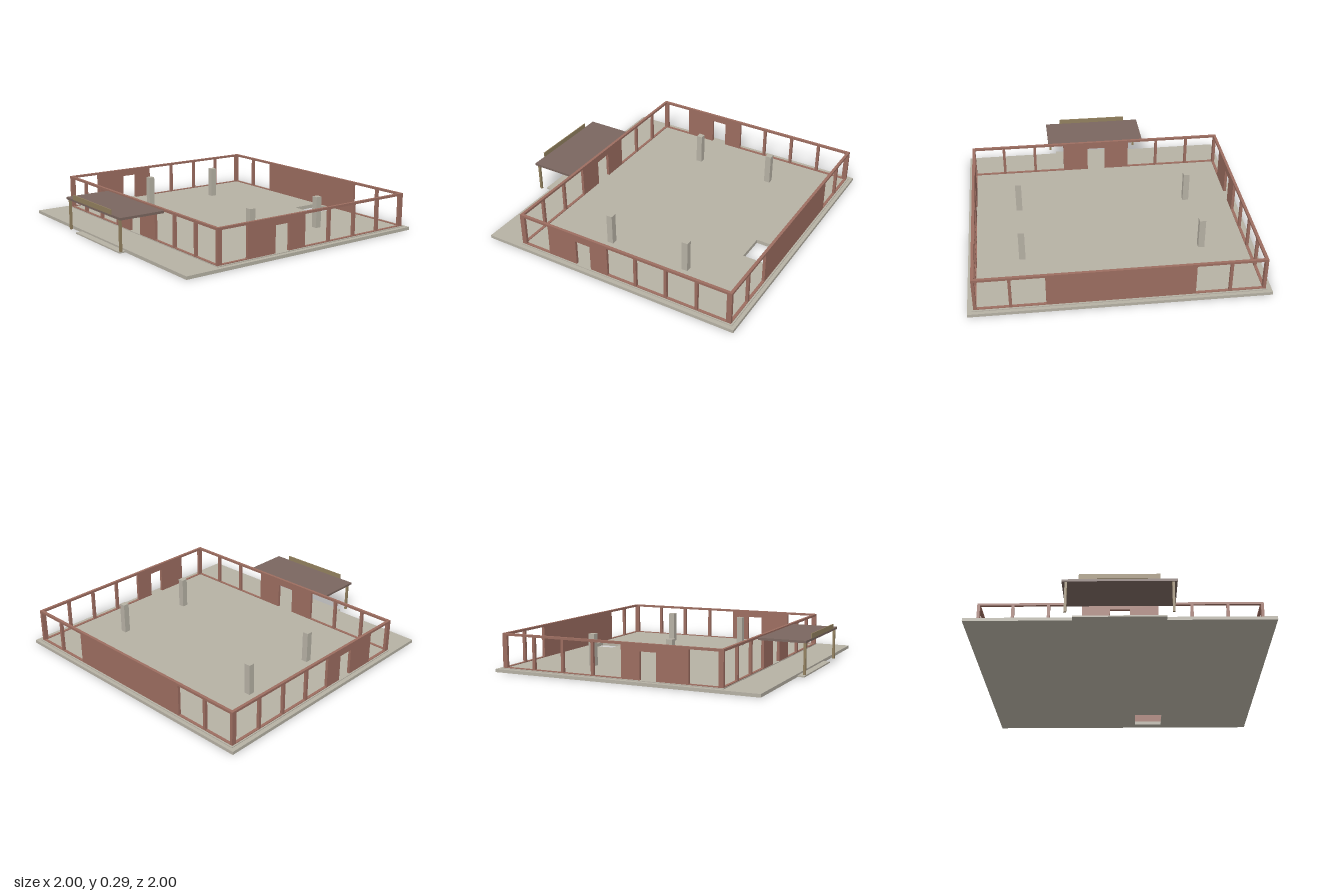
import * as THREE from 'three';

const mat = (name, hex) => {
  const m = new THREE.MeshStandardMaterial({ color: hex });
  m.name = name;
  return m;
};

export function createModel() {
  const model = new THREE.Group();
  const concrete = mat('concrete', 0xb6b1a4);
  const brick = mat('brick red', 0x9c6d60);
  const roof = mat('dark brown', 0x7a665f);
  const tan = mat('tan', 0x92805f);

  // Box given by its limits on each axis
  const box = (parent, name, material, [x0, x1], [y0, y1], [z0, z1]) => {
    const mesh = new THREE.Mesh(new THREE.BoxGeometry(x1 - x0, y1 - y0, z1 - z0), material);
    mesh.position.set((x0 + x1) / 2, (y0 + y1) / 2, (z0 + z1) / 2);
    mesh.name = name;
    parent.add(mesh);
  };

  // Flat plate with the stair opening cut through it
  const plate = (name, [x0, x1], [y0, y1], [z0, z1]) => {
    const rect = (P, a, b, c, d) => new P([[a, c], [b, c], [b, d], [a, d]].map(p => new THREE.Vector2(...p)));
    const shape = rect(THREE.Shape, x0, x1, z0, z1);
    shape.holes.push(rect(THREE.Path, 0.1, 0.31, -0.925, -0.717));
    const geo = new THREE.ExtrudeGeometry(shape, { depth: y1 - y0, bevelEnabled: false });
    geo.rotateX(Math.PI / 2);
    const mesh = new THREE.Mesh(geo, concrete);
    mesh.position.y = y1;
    mesh.name = name;
    model.add(mesh);
  };

  // Ground slab, raised floor and entrance step
  plate('baseSlab', [-1, 1], [0, 0.022], [-1, 0.92]);
  plate('floor', [-0.97, 0.97], [0.022, 0.027], [-0.975, 0.668]);
  box(model, 'entranceStep', concrete, [-0.3, 0.3], [0, 0.01], [0.92, 0.967]);

  // Framed wall along local x: sill, top rail, posts and a solid panel with optional doorway
  const T = 0.02, FLOOR = 0.027, RAIL = 0.25, TOP = 0.266;
  const wall = (name, [u0, u1], posts, [p0, p1], door) => {
    const g = new THREE.Group();
    g.name = name;
    const depth = [-T / 2, T / 2];
    const cuts = door ? [[u0, door[0]], [door[1], u1]] : [[u0, u1]];
    cuts.forEach(c => box(g, 'sill', brick, c, [FLOOR, 0.032], depth));
    box(g, 'topRail', brick, [u0, u1], [RAIL, TOP], depth);
    posts.forEach(u => box(g, 'post', brick, [u - 0.01, u + 0.01], [FLOOR, RAIL], depth));
    const pts = [[p0, FLOOR]];
    if (door) pts.push([door[0], FLOOR], [door[0], 0.213], [door[1], 0.213], [door[1], FLOOR]);
    pts.push([p1, FLOOR], [p1, RAIL], [p0, RAIL]);
    const shape = new THREE.Shape(pts.map(p => new THREE.Vector2(...p)));
    const geo = new THREE.ExtrudeGeometry(shape, { depth: T, bevelEnabled: false }).translate(0, 0, -T / 2);
    const panel = new THREE.Mesh(geo, brick);
    panel.name = 'panel';
    g.add(panel);
    model.add(g);
    return g;
  };

  const front = wall('frontWall', [-0.96, 0.96], [-0.95, -0.72, -0.48, 0.48, 0.72, 0.95], [-0.255, 0.255], [-0.07, 0.065]);
  front.position.z = 0.655;
  const back = wall('backWall', [-0.96, 0.96], [-0.95, -0.72, 0.72, 0.95], [-0.49, 0.49]);
  back.position.z = -0.953;
  for (const s of [-1, 1]) {
    const side = wall(s > 0 ? 'leftWall' : 'rightWall', [-0.943, 0.645],
      [-0.938, -0.713, -0.488, -0.26, 0.64], [-0.045, 0.43], [0.09, 0.205]);
    side.rotation.y = -Math.PI / 2;
    side.position.x = s * 0.95;
  }

  // Free-standing interior columns
  for (const x of [-0.627, 0.627]) for (const z of [-0.45, 0.145])
    box(model, 'column', concrete, [x - 0.022, x + 0.022], [FLOOR, 0.25], [z - 0.022, z + 0.022]);

  // Entrance canopy, its posts and the blank sign board
  box(model, 'canopy', roof, [-0.37, 0.37], [0.24, 0.256], [0.665, 0.996]);
  for (const x of [-0.343, 0.343])
    box(model, 'canopyPost', tan, [x - 0.008, x + 0.008], [0.027, 0.24], [0.973, 0.989]);
  box(model, 'signBoard', tan, [-0.26, 0.26], [0.256, 0.29], [0.993, 1]);

  return model;
}
